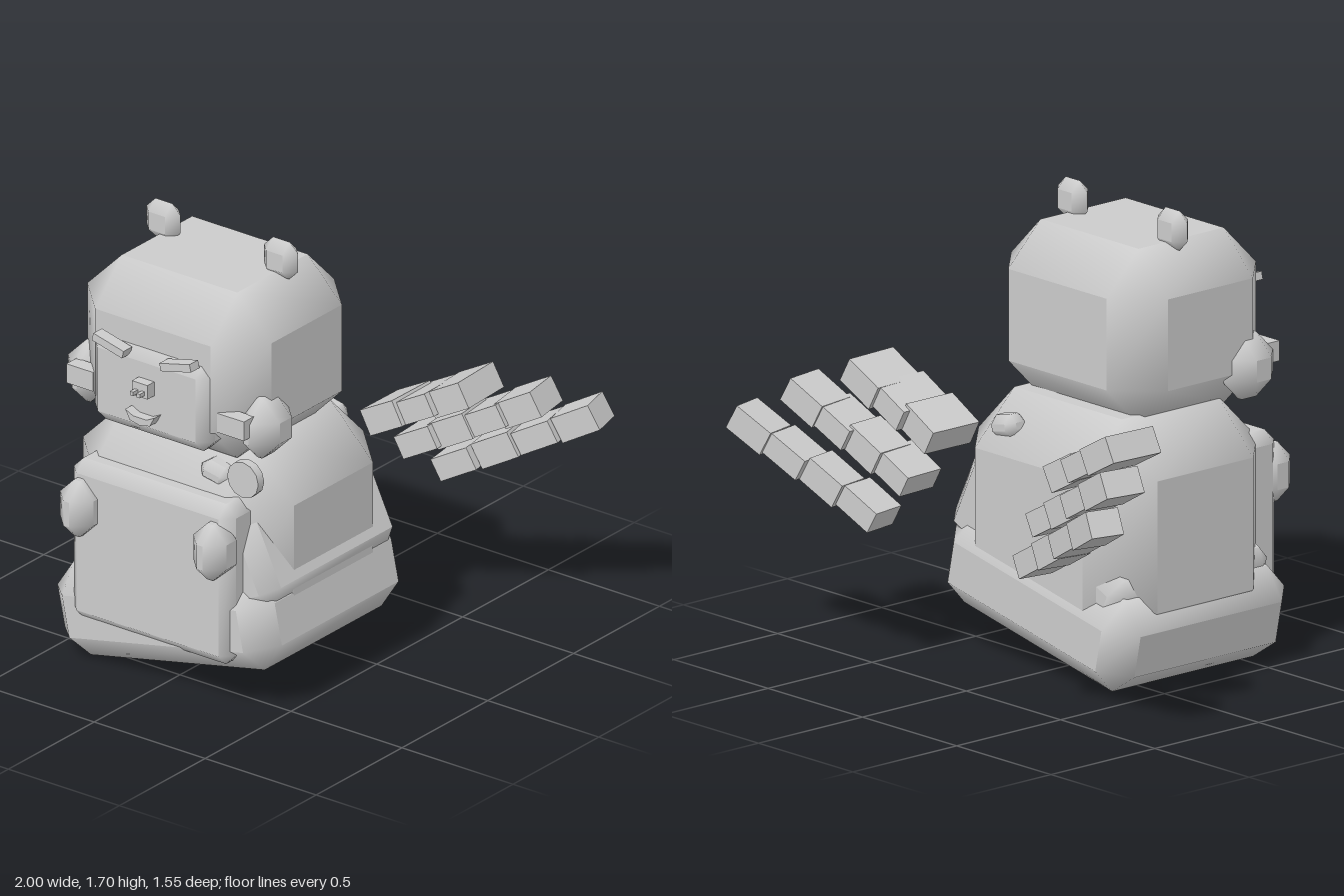
import * as THREE from 'three';

const grey = new THREE.MeshStandardMaterial({ color: 0xcccccc });
grey.name = 'plain grey';

// Box with one flat chamfer all round: flat sides, softly shaded bevels
function chamferBox(w, h, d, b) {
  const half = [w / 2, h / 2, d / 2], pos = [], nor = [];
  const vert = (axis, s) => new THREE.Vector3(...half.map((v, i) => s[i] * (i === axis ? v : v - b)));
  const add = (corners, flatAxis) => {
    const tris = corners.length === 4 ? [[0, 1, 2], [0, 2, 3]] : [[0, 1, 2]];
    for (const t of tris) {
      let c = t.map(i => ({ p: vert(...corners[i]), axis: corners[i][0], s: corners[i][1] }));
      const n = c[1].p.clone().sub(c[0].p).cross(c[2].p.clone().sub(c[0].p));
      const mid = c[0].s.map((_, i) => corners.reduce((sum, q) => sum + q[1][i], 0));
      if (n.dot(new THREE.Vector3(...mid)) < 0) c = [c[0], c[2], c[1]];
      for (const v of c) {
        const k = flatAxis === undefined ? 0.3 : 0;
        const m = new THREE.Vector3(...v.s.map((s, i) => (i === v.axis ? s : s * k))).normalize();
        pos.push(v.p.x, v.p.y, v.p.z);
        nor.push(m.x, m.y, m.z);
      }
    }
  };
  const at = (...pairs) => { const s = [0, 0, 0]; for (const [i, v] of pairs) s[i] = v; return s; };
  for (let a = 0; a < 3; a++) {
    const u = (a + 1) % 3, v = (a + 2) % 3;
    for (const s of [-1, 1]) {
      add([[-1, -1], [1, -1], [1, 1], [-1, 1]].map(([p, q]) => [a, at([a, s], [u, p], [v, q])]), a);
      for (const t of [-1, 1]) { // bevel strip running along axis a
        const e = k => at([a, k], [u, s], [v, t]);
        add([[u, e(-1)], [u, e(1)], [v, e(1)], [v, e(-1)]]);
      }
    }
  }
  for (let i = 0; i < 8; i++) {
    const s = [i & 1 ? 1 : -1, i & 2 ? 1 : -1, i & 4 ? 1 : -1];
    add([0, 1, 2].map(a => [a, s]));
  }
  const g = new THREE.BufferGeometry();
  g.setAttribute('position', new THREE.Float32BufferAttribute(pos, 3));
  g.setAttribute('normal', new THREE.Float32BufferAttribute(nor, 3));
  return g;
}

export function createModel() {
  const model = new THREE.Group();
  model.name = 'wingedBear';

  const part = (name, geometry, x, y, z, ry = 0, rz = 0, parent = model) => {
    const m = new THREE.Mesh(geometry, grey);
    m.name = name;
    m.position.set(x, y, z);
    m.rotation.set(0, ry, rz, 'YZX');
    parent.add(m);
    return m;
  };

  // Main masses
  part('head', chamferBox(0.83, 0.65, 0.72, 0.155), 0, 1.257, 0.298);
  part('body', chamferBox(0.95, 0.87, 0.84, 0.19), 0, 0.54, 0.22);
  part('base', chamferBox(1.0, 0.36, 0.88, 0.1), 0, 0.26, 0.22, 0, 0.207);
  part('sash', chamferBox(0.9, 0.37, 0.77, 0.06), 0.03, 0.42, 0.22, 0, 0.445);
  part('belly', chamferBox(0.73, 0.63, 0.2, 0.045), 0, 0.505, 0.59);

  // Face
  part('muzzle', chamferBox(0.54, 0.35, 0.14, 0.05), 0, 1.175, 0.625);
  part('nose', new THREE.BoxGeometry(0.07, 0.055, 0.06), 0, 1.21, 0.705);
  const mouth = new THREE.Shape();
  mouth.moveTo(-0.065, 1.117);
  mouth.lineTo(-0.045, 1.08);
  mouth.lineTo(0, 1.07);
  mouth.lineTo(0.045, 1.08);
  mouth.lineTo(0.065, 1.117);
  mouth.lineTo(0.03, 1.1);
  mouth.lineTo(-0.03, 1.1);
  mouth.closePath();
  part('mouth', new THREE.ExtrudeGeometry(mouth, { depth: 0.05, bevelEnabled: false }), 0, 0, 0.685);

  // Mirrored parts
  for (const s of [-1, 1]) {
    const side = s > 0 ? 'left' : 'right';
    part(side + 'Ear', chamferBox(0.15, 0.145, 0.08, 0.038), s * 0.265, 1.627, 0.253);
    part(side + 'Cheek', chamferBox(0.18, 0.24, 0.23, 0.08), s * 0.387, 1.1, 0.5);
    part(side + 'CheekBlock', new THREE.BoxGeometry(0.12, 0.075, 0.06), s * 0.34, 1.128, 0.615);
    part(side + 'Brow', new THREE.BoxGeometry(0.14, 0.03, 0.05), s * 0.152, 1.337, 0.7, 0, s * 0.24);
    part(side + 'Nostril', new THREE.BoxGeometry(0.015, 0.015, 0.04), s * 0.015, 1.202, 0.743);
    part(side + 'Paw', chamferBox(0.15, 0.22, 0.18, 0.062), s * 0.3, 0.65, 0.685);

    // Wing: three rows of blocks, each row rising and sweeping back
    const wing = new THREE.Group();
    wing.name = side + 'Wing';
    model.add(wing);
    const rows = [
      { n: 4, tip: [0.893, 0.83, -0.69], step: [0.143, 0.076, 0.047], depth: 0.13, yaw: 0.24 },
      { n: 4, tip: [0.785, 0.923, -0.515], step: [0.125, 0.066, 0.032], depth: 0.16, yaw: 0.16 },
      { n: 3, tip: [0.635, 0.995, -0.335], step: [0.125, 0.062, 0.025], depth: 0.22, yaw: 0.05 },
    ];
    for (const r of rows) {
      for (let i = 0; i < r.n; i++) {
        const wobble = (i % 2) * 0.012;
        part('feather', new THREE.BoxGeometry(0.165, 0.1 - wobble, r.depth + wobble),
          s * (r.tip[0] - i * r.step[0]), r.tip[1] - i * r.step[1], r.tip[2] + i * r.step[2],
          s * (r.yaw - i * 0.03), s * 0.5, wing);
      }
    }
  }

  // Shoulder medal and its two studs
  const disc = new THREE.CylinderGeometry(0.07, 0.07, 0.035, 12).rotateX(Math.PI / 2);
  part('medal', disc, 0.375, 0.92, 0.602);
  for (const z of [0.53, -0.115]) {
    part('stud', chamferBox(0.13, 0.085, 0.1, 0.03), 0.2, 0.87, z, 0, -0.2);
  }
  return model;
}
